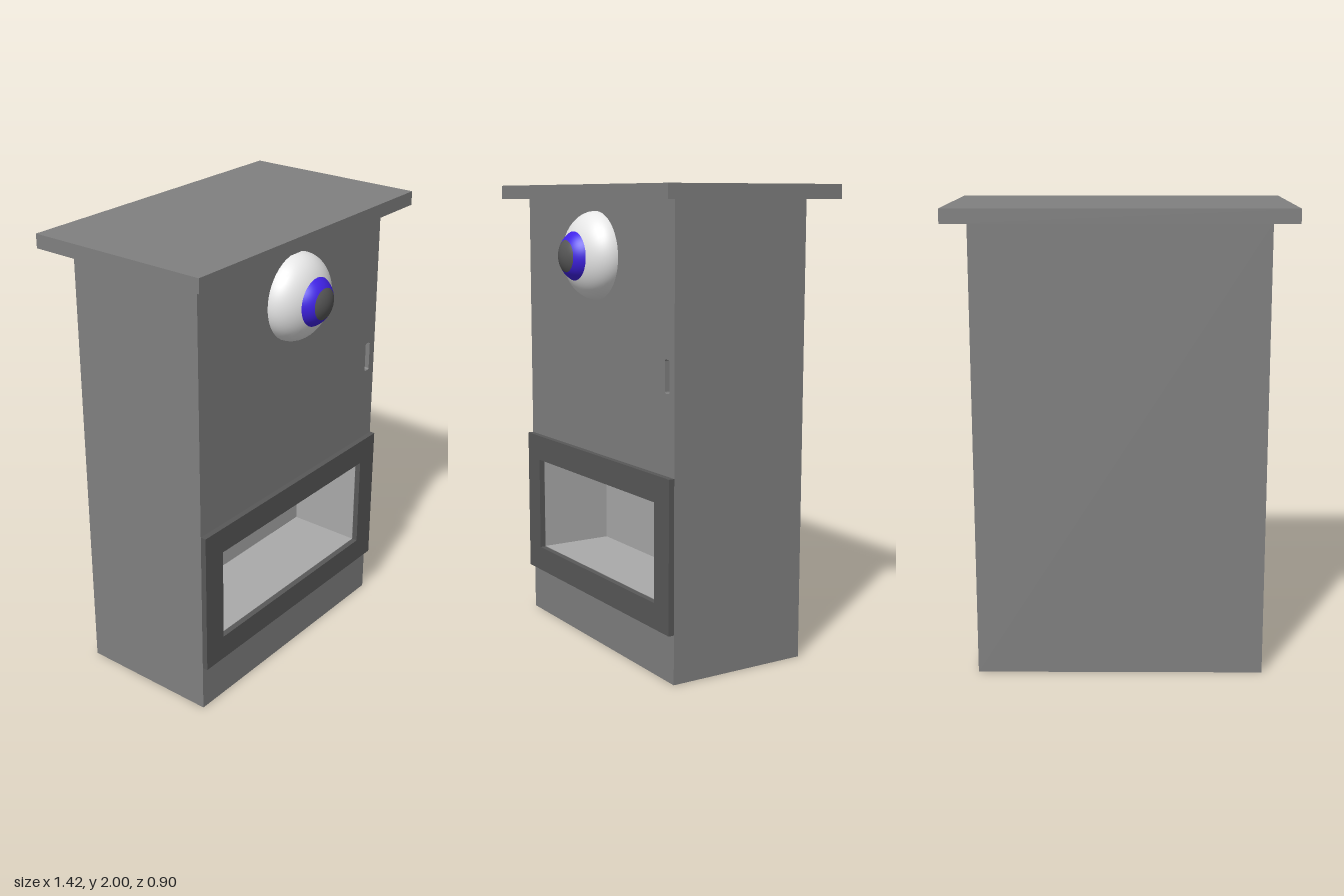
import * as THREE from 'three';

const mat = (name, color) => {
  const m = new THREE.MeshStandardMaterial({ color });
  m.name = name;
  return m;
};

// Rectangle outline, with optional rounded corners
function rect(Type, x0, x1, y0, y1, r = 0) {
  const p = new Type();
  if (!r) {
    p.moveTo(x0, y0).lineTo(x1, y0).lineTo(x1, y1).lineTo(x0, y1).closePath();
    return p;
  }
  p.absarc(x1 - r, y0 + r, r, -Math.PI / 2, 0);
  p.absarc(x1 - r, y1 - r, r, 0, Math.PI / 2);
  p.absarc(x0 + r, y1 - r, r, Math.PI / 2, Math.PI);
  p.absarc(x0 + r, y0 + r, r, Math.PI, Math.PI * 1.5);
  p.closePath();
  return p;
}

export function createModel() {
  const group = new THREE.Group();
  const grey = mat('cabinet grey', 0x808080);
  const dark = mat('dark grey', 0x585858);
  const light = mat('lining grey', 0xaaaaaa);
  const white = mat('eye white', 0xf2f2f2);
  const blue = mat('iris blue', 0x4022e6);

  const add = (name, geometry, material) => {
    const mesh = new THREE.Mesh(geometry, material);
    mesh.name = name;
    group.add(mesh);
    return mesh;
  };
  const box = (name, x, y0, y1, z0, z1, material) =>
    add(name, new THREE.BoxGeometry(2 * x, y1 - y0, z1 - z0), material)
      .position.set(0, (y0 + y1) / 2, (z0 + z1) / 2);

  // Opening shared by cabinet, frame and lining
  const W = 0.615, OX = 0.505, OY0 = 0.32, OY1 = 0.74;
  const BACK = -0.05, FRONT = 0.285;
  const opening = () => rect(THREE.Path, -OX, OX, OY0, OY1);
  const panel = (name, y0, y1, z0, z1, holes, material) => {
    const shape = rect(THREE.Shape, -W, W, y0, y1);
    shape.holes.push(...holes);
    const geo = new THREE.ExtrudeGeometry(shape, { depth: z1 - z0, bevelEnabled: false, curveSegments: 6 });
    add(name, geo, material).position.z = z0;
  };

  // Cabinet: solid back, hollow middle, front with a recessed finger slot
  box('cabinetBack', W, 0, 1.94, -0.35, BACK, grey);
  panel('cabinetMiddle', 0, 1.94, BACK, 0.225, [opening()], grey);
  const slot = rect(THREE.Path, 0.545, 0.578, 1.185, 1.32, 0.008);
  panel('cabinetFront', 0, 1.94, 0.225, FRONT, [opening(), slot], grey);
  box('topSlab', 0.712, 1.94, 2, -0.453, 0.378, grey);

  // Frame around the opening
  panel('openingFrame', 0.21, 0.853, FRONT, 0.31, [opening()], dark);

  // Light lining of the hollow: back, floor, ceiling and two sides
  const e = 0.002, depth = FRONT - BACK, h = OY1 - OY0;
  const midY = (OY0 + OY1) / 2, midZ = (FRONT + BACK) / 2;
  const lining = (name, w, hh, pos, rx, ry) => {
    const mesh = add(name, new THREE.PlaneGeometry(w, hh), light);
    mesh.position.set(...pos);
    mesh.rotation.set(rx, ry, 0);
  };
  lining('liningBack', 2 * OX, h, [0, midY, BACK + e], 0, 0);
  lining('liningFloor', 2 * OX, depth, [0, OY0 + e, midZ], -Math.PI / 2, 0);
  lining('liningCeiling', 2 * OX, depth, [0, OY1 - e, midZ], Math.PI / 2, 0);
  for (const s of [-1, 1])
    lining(s > 0 ? 'liningLeft' : 'liningRight', depth, h, [s * (OX - e), midY, midZ], 0, -s * Math.PI / 2);

  // Eye: flattened white dome with a bulging iris and pupil
  const cap = (name, r, z, t0, t1, material, flat = 1) => {
    const geo = new THREE.SphereGeometry(r, 48, 20, 0, Math.PI * 2, t0, t1 - t0);
    geo.rotateX(Math.PI / 2);
    const mesh = add(name, geo, material);
    mesh.scale.z = flat;
    mesh.position.set(0, 1.705, z);
  };
  cap('eyeWhite', 0.186, FRONT, 0, Math.PI / 2, white, 0.68);
  cap('iris', 0.118, 0.332, 0.6, 1.13, blue);
  cap('pupil', 0.118, 0.332, 0, 0.6, dark);

  return group;
}
